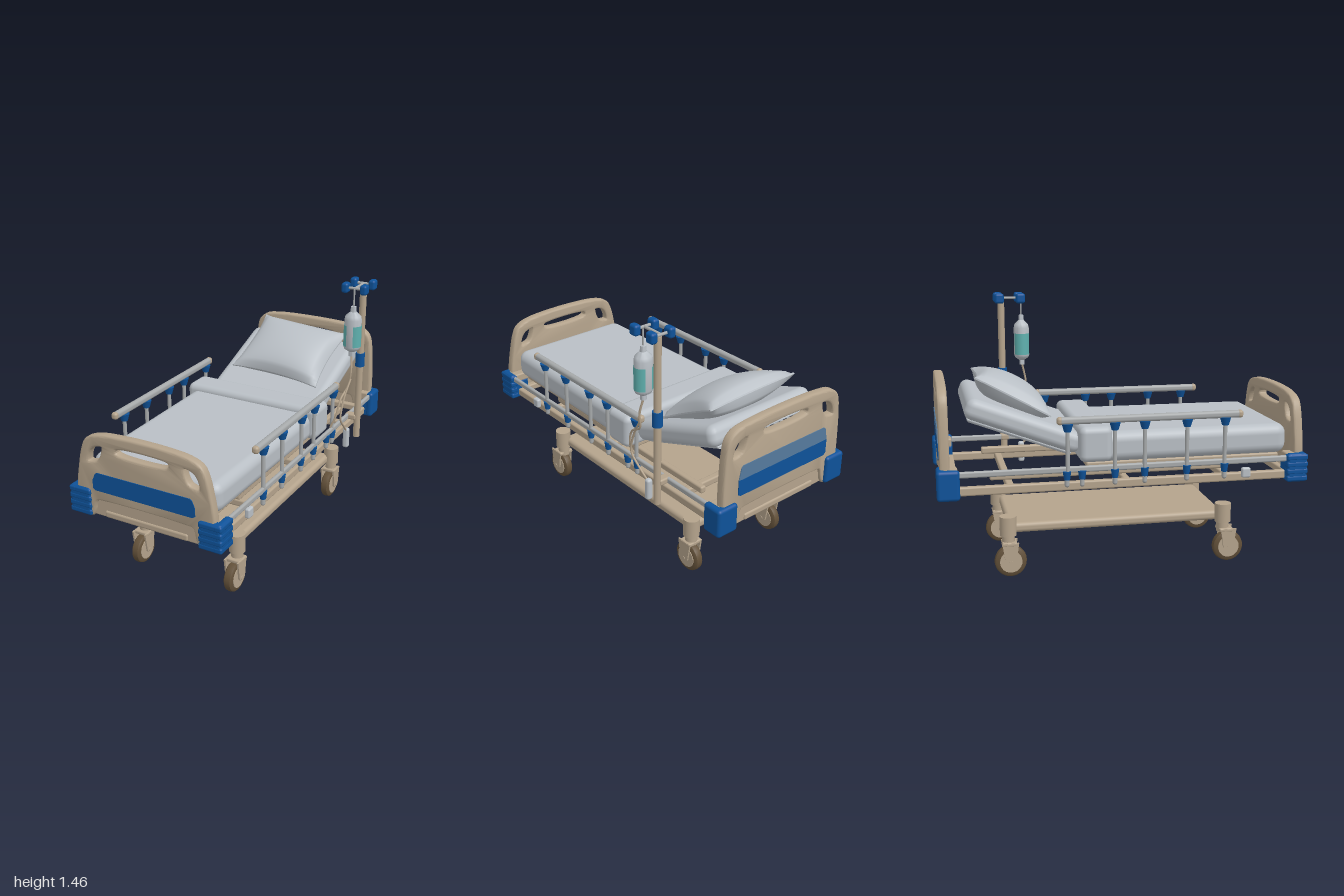
import * as THREE from 'three';
import { toCreasedNormals } from 'three/addons/utils/BufferGeometryUtils.js';
import { RoundedBoxGeometry } from 'three/addons/geometries/RoundedBoxGeometry.js';

const CX = -0.046; // centre line of the bed

function makeMaterial(name, color, side = THREE.FrontSide) {
  const m = new THREE.MeshStandardMaterial({ color, side });
  m.name = name;
  return m;
}
const V = (x, y, z) => new THREE.Vector3(x, y, z);

export function createModel() {
  const model = new THREE.Group();
  model.name = 'hospitalBed';
  const tan = makeMaterial('beigePlastic', 0xb4a38c);
  const blue = makeMaterial('bluePlastic', 0x0e5299);
  const slate = makeMaterial('slateBluePlastic', 0x55799c);
  const grey = makeMaterial('paleGreyFabric', 0xb9bfc5);
  const metal = makeMaterial('greyMetal', 0xa6a9aa);
  const teal = makeMaterial('tealLabel', 0x5fb0ae, THREE.DoubleSide);
  const dark = makeMaterial('darkRubber', 0x625039);

  function add(name, geo, mat, x = 0, y = 0, z = 0, parent = model) {
    const mesh = new THREE.Mesh(geo, mat);
    mesh.name = name;
    mesh.position.set(x, y, z);
    parent.add(mesh);
    return mesh;
  }
  const rbox = (w, h, d, r = 0.01) => new RoundedBoxGeometry(w, h, d, 3, r);
  const cyl = (r, h, r2 = r) => new THREE.CylinderGeometry(r, r2, h, 24);
  const bar = (r, len, axis) => axis === 'x' ? cyl(r, len).rotateZ(Math.PI / 2) : cyl(r, len).rotateX(Math.PI / 2);

  // Head and foot boards
  const softPath = (Type, pts) => {
    const p = new Type();
    p.setFromPoints(new THREE.CatmullRomCurve3(pts.map(([x, y]) => V(x, y, 0)), true, 'centripetal')
      .getPoints(72).map(q => new THREE.Vector2(q.x, q.y)));
    return p;
  };
  const mirrored = pts => [...pts, ...pts.slice().reverse().map(([x, y]) => [-x, y])];
  function board(name, z, { side, lift, spread, bands, ribs }) {
    const g = new THREE.Group();
    g.name = name;
    g.position.set(CX, 0, z);
    const shape = softPath(THREE.Shape, mirrored([[0.24, 0.59], [0.295, 0.58], [0.325, 0.49], [0.39, 0.49], [0.4, 0.63], ...side]));
    const corner = [[0.335, 0.785], [0.325, 0.85], [0.29, 0.885], [0.235, 0.893], [0.232, 0.865], [0.265, 0.795]]
      .map(([x, y]) => [x + spread, y]);
    const slot = [[-0.14, 0.85], [0.14, 0.85], [0.165, 0.865], [0.16, 0.895], [0.12, 0.906], [-0.12, 0.906], [-0.16, 0.895], [-0.165, 0.865]];
    const holes = [corner, corner.map(([x, y]) => [-x, y]).reverse(), slot];
    shape.holes = holes.map(h => softPath(THREE.Path, h.map(([x, y]) => [x, y + lift])));
    const geo = new THREE.ExtrudeGeometry(shape, { depth: 0.026, bevelThickness: 0.013, bevelSize: 0.012, bevelSegments: 3 });
    add('panel', toCreasedNormals(geo.translate(0, 0, -0.013), 0.7), tan, 0, 0, 0, g);
    add('apron', rbox(0.7, 0.125, 0.02, 0.008), tan, 0, 0.543, 0, g);
    add('lowerLip', rbox(0.5, 0.04, 0.035, 0.012), tan, 0, 0.502, 0, g);

    // Painted inset on the outer face
    const s = Math.sign(z);
    for (const [mat, pts] of bands) {
      const inset = new THREE.Shape(mirrored(pts).map(([x, y]) => new THREE.Vector2(x, y)));
      const plate = new THREE.ExtrudeGeometry(inset, { depth: 0.006, bevelEnabled: false });
      add('inset', plate, mat, 0, 0, s > 0 ? 0.024 : -0.03, g);
    }

    // Corner bumpers with a beige block on top
    for (const sx of [-1, 1]) {
      const wrap = (h, y, grow, r) => {
        add('bumperEnd', rbox(0.13 + grow, h, 0.047 + grow, r), blue, sx * 0.388, y, s * 0.974 - z, g);
        add('bumperSide', rbox(0.042 + grow, h, 0.118 + grow, r), blue, sx * 0.432, y, s * 0.939 - z, g);
      };
      wrap(0.16, 0.555, 0, 0.018);
      for (let i = 0; i < ribs; i++) wrap(0.032, 0.496 + i * 0.039, 0.003, 0.01);
      add('bumperCore', rbox(0.11, 0.11, 0.1, 0.01), blue, sx * 0.385, 0.532, s * 0.935 - z, g);
      add('cornerBlock', rbox(0.09, 0.05, 0.085, 0.01), tan, sx * 0.375, 0.605, s * 0.93 - z, g);
    }
    model.add(g);
  }
  board('footboard', 0.96, {
    side: [[0.38, 0.76], [0.355, 0.86], [0.33, 0.905], [0.27, 0.932], [0.13, 0.947]],
    lift: 0, spread: 0, ribs: 4,
    bands: [[blue, [[0.29, 0.635], [0.304, 0.645], [0.304, 0.69], [0.288, 0.728], [0.276, 0.736]]]],
  });
  board('headboard', -0.953, {
    side: [[0.398, 0.78], [0.388, 0.92], [0.373, 0.985], [0.335, 1.02], [0.27, 1.034], [0.13, 1.043]],
    lift: 0.095, spread: 0.025, ribs: 0,
    bands: [[blue, [[0.3, 0.66], [0.315, 0.67], [0.315, 0.752]]], [slate, [[0.315, 0.752], [0.3, 0.82], [0.288, 0.83]]]],
  });

  // Bed frame
  for (const s of [-1, 1]) {
    add('lowerRail', rbox(0.035, 0.048, 1.8), tan, CX + s * 0.385, 0.51, 0);
    add('upperRail', rbox(0.022, 0.034, 1.78), metal, CX + s * 0.425, 0.607, 0);
    add('platformRail', rbox(0.035, 0.04, 1.3), tan, CX + s * 0.3, 0.56, -0.07);
    add('railBox', rbox(0.03, 0.055, 0.05), grey, CX + s * 0.415, 0.537, 0.655);
  }
  for (const z of [-0.9, -0.62, 0, 0.55, 0.9]) add('crossBeam', rbox(0.76, 0.04, 0.04), tan, CX, 0.515, z);
  add('platform', rbox(0.68, 0.03, 1.08), tan, CX, 0.605, 0.33);

  // Mattress with blanket: slightly narrower towards the foot
  const blanket = rbox(0.785, 0.165, 1.13, 0.055);
  const bp = blanket.attributes.position;
  for (let i = 0; i < bp.count; i++) bp.setX(i, bp.getX(i) * (1 - 0.03 * (bp.getZ(i) / 1.13 + 0.5)));
  add('blanket', blanket, grey, -0.042, 0.703, 0.34);
  add('blanketFold', rbox(0.85, 0.19, 0.175, 0.035), grey, -0.036, 0.726, -0.168);

  // Raised backrest on a ribbed support
  const back = new THREE.Group();
  back.name = 'backrest';
  back.position.set(-0.04, 0.825, -0.535);
  back.rotation.x = 0.36;
  add('backMattress', rbox(0.715, 0.115, 0.64, 0.045), grey, 0, 0, 0, back);
  add('backSupport', rbox(0.62, 0.014, 0.58, 0.006), grey, 0, -0.062, 0, back);
  for (let i = 0; i < 13; i++) add('supportRib', bar(0.011, 0.56, 'z'), grey, -0.288 + i * 0.048, -0.066, 0, back);
  model.add(back);

  // Pillow: pinched edges, full middle
  const pillow = new THREE.BoxGeometry(2, 2, 2, 24, 1, 20);
  const pp = pillow.attributes.position;
  for (let i = 0; i < pp.count; i++) {
    const u = pp.getX(i), v = pp.getZ(i), t = Math.sign(pp.getY(i));
    const full = Math.pow(Math.max(0, (1 - u * u) * (1 - v * v)), 0.45);
    pp.setXYZ(i, 0.285 * u * (1 - 0.08 * (1 - v * v)), t * (0.004 + 0.09 * full), 0.225 * v * (1 - 0.1 * (1 - u * u)));
  }
  pillow.computeVertexNormals();
  add('pillow', pillow, grey, -0.028, 0.953, -0.575).rotation.set(0.5, -0.05, -0.035);

  // Side guards
  for (const s of [-1, 1]) {
    const g = new THREE.Group();
    g.name = s > 0 ? 'leftGuard' : 'rightGuard';
    g.position.x = CX - 0.005 + s * 0.43;
    add('guardTop', rbox(0.036, 0.04, 0.98, 0.016), metal, 0, 0.868, 0.12, g);
    for (const e of [-1, 1]) add('guardEnd', rbox(0.038, 0.042, 0.034, 0.016), tan, 0, 0.868, 0.12 + e * 0.485, g);
    for (const z of [0.525, 0.315, 0.085, -0.075, -0.325]) {
      add('guardPost', cyl(0.011, 0.25), metal, 0, 0.715, z, g);
      add('postCap', cyl(0.03, 0.042, 0.018), blue, 0, 0.831, z, g);
    }
    for (const z of [0.525, 0.315, 0.085, -0.075, -0.25, -0.33]) {
      add('postClip', cyl(0.022, 0.045, 0.016), blue, 0, 0.578, z, g);
      add('postFoot', new THREE.CapsuleGeometry(0.013, 0.03, 4, 12), metal, 0, 0.543, z, g);
    }
    model.add(g);
  }

  // Wheeled base
  add('baseTray', rbox(0.58, 0.055, 1.2, 0.022), tan, CX, 0.262, -0.025);
  for (const sx of [-1, 1]) for (const front of [true, false]) {
    const c = new THREE.Group();
    c.name = 'caster';
    c.position.set(CX + sx * 0.296, 0, front ? 0.57 : -0.628);
    const dz = front ? 0.03 : 0.01;
    add('basePost', cyl(0.045, 0.105), tan, 0, 0.283, 0, c);
    add('swivel', cyl(0.034, 0.06), tan, 0, 0.205, 0, c);
    add('forkCrown', rbox(0.092, 0.022, 0.08, 0.008), tan, 0, 0.187, dz * 0.4, c);
    const fork = new THREE.Shape([[-0.045, 0.195], [-0.028, 0.085], [-0.012, 0.07], [0.014, 0.07], [0.028, 0.085], [0.045, 0.195]]
      .map(([a, b]) => new THREE.Vector2(a, b)));
    for (const s of [-1, 1]) {
      const plate = new THREE.ExtrudeGeometry(fork, { depth: 0.01, bevelEnabled: false });
      add('forkPlate', plate.rotateY(Math.PI / 2), tan, s * 0.04 - 0.005, 0, dz * 0.8, c);
      add('hub', bar(0.06, 0.006, 'x'), tan, s * 0.026, 0.087, dz, c);
    }
    const tyre = [[0.02, -0.025], [0.074, -0.025], [0.084, -0.017], [0.087, 0], [0.084, 0.017], [0.074, 0.025], [0.02, 0.025]];
    const wheel = new THREE.LatheGeometry(tyre.map(([r, y]) => new THREE.Vector2(r, y)), 32);
    add('tyre', toCreasedNormals(wheel.rotateZ(Math.PI / 2), 0.7), dark, 0, 0.087, dz, c);
    add('axle', bar(0.012, 0.096, 'x'), tan, 0, 0.087, dz, c);
    model.add(c);
  }

  // Drip stand
  const px = 0.437, pz = -0.567;
  add('dripPole', cyl(0.02, 0.94), tan, px, 0.95, pz);
  add('poleCollar', cyl(0.027, 0.082), blue, px, 0.977, pz);
  add('poleBracket', rbox(0.07, 0.035, 0.05), tan, 0.4, 0.607, pz);
  add('hookSpine', bar(0.008, 0.125, 'z'), metal, 0.43, 1.432, -0.52);
  for (const z of [-0.582, -0.458]) {
    add('hookArm', bar(0.008, 0.1, 'x'), metal, 0.43, 1.432, z);
    for (const s of [-1, 1]) add('hookKnob', rbox(0.04, 0.058, 0.054, 0.014), blue, 0.43 + s * 0.056, 1.432, z);
  }

  // Drip bag with label
  const bag = new THREE.Group();
  bag.name = 'dripBag';
  bag.position.set(0.43, 0, -0.45);
  bag.scale.z = 0.9;
  const profile = [[0, 1.035], [0.017, 1.035], [0.017, 1.062], [0.045, 1.08], [0.05, 1.095], [0.05, 1.255], [0.045, 1.275],
    [0.018, 1.3], [0.016, 1.33], [0, 1.332]];
  const body = new THREE.LatheGeometry(profile.map(([r, y]) => new THREE.Vector2(r, y)), 28);
  add('bagBody', toCreasedNormals(body, 0.7), grey, 0, 0, 0, bag);
  for (const a of [0.4, 0.4 + Math.PI])
    add('bagLabel', new THREE.CylinderGeometry(0.0515, 0.0515, 0.125, 18, 1, true, a, 2.34), teal, 0, 1.16, 0, bag);
  add('bagHanger', cyl(0.005, 0.1), metal, 0, 1.38, 0, bag);
  model.add(bag);

  // Drip tube and hand control
  const tube = (name, pts) => add(name, new THREE.TubeGeometry(new THREE.CatmullRomCurve3(pts), 48, 0.006, 8), tan);
  tube('dripTube', [V(0.43, 1.04, -0.45), V(0.44, 0.95, -0.43), V(0.43, 0.86, -0.42), V(0.42, 0.8, -0.34), V(0.41, 0.71, -0.31), V(0.38, 0.63, -0.3)]);
  tube('controlCable', [V(0.44, 0.9, -0.43), V(0.43, 0.8, -0.37), V(0.425, 0.68, -0.34), V(0.42, 0.6, -0.41), V(0.413, 0.55, -0.465)]);
  add('handControl', rbox(0.036, 0.125, 0.036, 0.014), grey, 0.413, 0.505, -0.467);

  return model;
}
